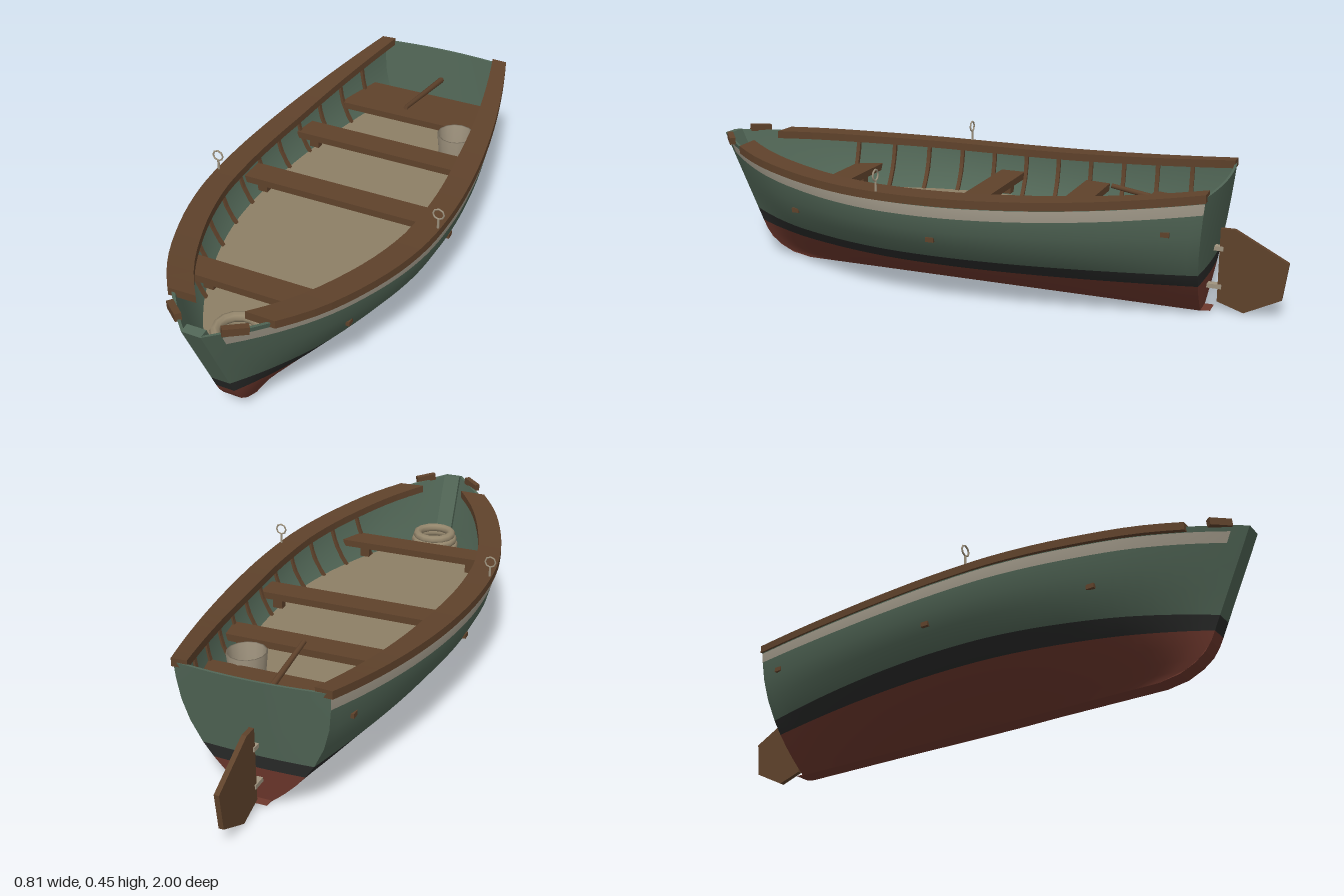
import * as THREE from 'three';

const { lerp, clamp } = THREE.MathUtils;
const paint = (name, color) => new THREE.MeshStandardMaterial({ name, color, side: THREE.DoubleSide });

// ---- hull form ----
// Half beam at evenly spaced stations, with one guide station beyond each end
const PLAN = new THREE.SplineCurve([.165, .24, .3, .345, .375, .387, .373, .316, .213, .03, -.25]
  .map((w, i) => new THREE.Vector2(i, w)));
const STEM = [[.67, 0], [.74, .012], [.79, .035], [.825, .062], [.845, .09], [.86, .12], [.88, .165], [1, .43]]; // z, y
const beam = u => PLAN.getPoint((1 + 8 * clamp(u, 0, 1)) / 10).y;
const sheer = u => .37 + .06 * ((1.78 * u - .88) / .9) ** 2;
const sternZ = y => -.74 - .095 * y;
function stemZ(y) {
  let i = 1;
  while (i < STEM.length - 1 && STEM[i][1] < y) i++;
  const [z0, y0] = STEM[i - 1], [z1, y1] = STEM[i];
  return lerp(z0, z1, (y - y0) / (y1 - y0));
}
const halfWidth = (u, y) => .03 + (beam(u) - .03) * (1 - Math.max(0, 1 - y / sheer(u)) ** 2.45);
const widthAt = (z, y) => halfWidth((z - sternZ(y)) / (stemZ(y) - sternZ(y)), y);

// Heights of the plank rows, with paint lines at fixed rows
const LOW = [0, .02, .045, .08, .12, .165];
const ROWS = 10;
function rowY(u, k) {
  if (k < 6) return LOW[k];
  if (k < 9) return lerp(.165, sheer(u) - .053, (k - 5) / 3);
  return sheer(u) - (k === 9 ? .018 : 0);
}
const rowPaint = k => k < 4 ? 0 : k === 4 ? 1 : 2;

// Smooth surface from a point rule; band(i, j) picks the material of a cell
function grid(n, m, point, band) {
  const pos = [], cells = [];
  for (let i = 0; i <= n; i++) for (let j = 0; j <= m; j++) pos.push(...point(i, j));
  for (let i = 0; i < n; i++) for (let j = 0; j < m; j++) {
    const a = i * (m + 1) + j, b = a + m + 1;
    (cells[band(i, j)] ??= []).push(a, b, a + 1, b, b + 1, a + 1);
  }
  const g = new THREE.BufferGeometry();
  g.setAttribute('position', new THREE.Float32BufferAttribute(pos, 3));
  const index = [];
  cells.forEach((c, k) => { g.addGroup(index.length, c.length, k); index.push(...c); });
  g.setIndex(index);
  g.computeVertexNormals();
  return g;
}

// Flat-faced bar through four-cornered sections
function sweep(sections) {
  const index = [], last = (sections.length - 1) * 4;
  for (let i = 0; i < last; i += 4) for (let k = 0; k < 4; k++) {
    const a = i + k, b = i + (k + 1) % 4;
    index.push(a, b, a + 4, b, b + 4, a + 4);
  }
  index.push(0, 2, 1, 0, 3, 2, last, last + 1, last + 2, last, last + 2, last + 3);
  let g = new THREE.BufferGeometry();
  g.setAttribute('position', new THREE.Float32BufferAttribute(sections.flat(2), 3));
  g.setIndex(index);
  g = g.toNonIndexed();
  g.computeVertexNormals();
  return g;
}

// Side-profile plate, points given as [z, y]
function plate(points, width) {
  const shape = new THREE.Shape(points.map(p => new THREE.Vector2(...p)));
  return new THREE.ExtrudeGeometry(shape, { depth: width, bevelEnabled: false })
    .rotateY(-Math.PI / 2).translate(width / 2, 0, 0);
}

export function createModel() {
  const boat = new THREE.Group();
  boat.name = 'rowingBoat';
  const red = paint('bottomRed', 0x6e382d), black = paint('waterlineBlack', 0x2a2b2a);
  const green = paint('hullGreen', 0x516656), cream = paint('stripeCream', 0xa39b8b);
  const wood = paint('darkWood', 0x5f422b), deck = paint('floorBeige', 0x8d7f66);
  const metal = paint('metal', 0x9f937e), rope = paint('rope', 0x94866c);
  const paints = [red, black, green, cream];
  const add = (name, geometry, material, x = 0, y = 0, z = 0) => {
    const mesh = new THREE.Mesh(geometry, material);
    mesh.name = name;
    mesh.position.set(x, y, z);
    boat.add(mesh);
    return mesh;
  };
  const box = (name, w, h, d, material, x, y, z) =>
    add(name, new THREE.BoxGeometry(w, h, d), material, x, y, z);

  // Hull skins, inner and outer, on both sides
  const N = 48;
  const hullPoint = (s, u, k, inset) => {
    const y = rowY(u, k);
    return [s * (halfWidth(u, y) - inset), y, lerp(sternZ(y), stemZ(y), u)];
  };
  for (const s of [1, -1]) {
    add('outerHull', grid(N, ROWS, (i, k) => hullPoint(s, i / N, k, 0),
      (i, k) => k === 8 && i < N - 1 ? 3 : rowPaint(k)), paints);
    add('innerHull', grid(N, ROWS, (i, k) => hullPoint(s, i / N, k, .012),
      (i, k) => rowPaint(k)), paints);
    add('hullEdge', grid(N, 1, (i, j) => hullPoint(s, i / N, ROWS, j * .012), () => 0), [green]);
  }

  // Transom, gently bowed
  const transomPoint = (i, k, inset) => {
    const y = rowY(0, k), a = i / 6 - 1, t = y / sheer(0);
    return [a * halfWidth(0, y), y, sternZ(y) - .018 * t * (1 - a * a) + inset];
  };
  for (const inset of [0, .008])
    add('transom', grid(12, ROWS, (i, k) => transomPoint(i, k, inset), (i, k) => rowPaint(k)), paints);
  add('transomEdge', grid(12, 1, (i, j) => transomPoint(i, ROWS, j * .008), () => 0), [green]);

  // Stem post and keel, split at the paint lines
  const stemPart = (points, material, name) => {
    const back = points.map(([z, y]) => [z - .03, y + .004]).reverse();
    add(name, plate([...points, ...back], .06), material);
  };
  stemPart([[-.74, 0], ...STEM.slice(0, 6)], red, 'keel');
  stemPart(STEM.slice(5, 7), black, 'stemWaterline');
  stemPart(STEM.slice(6), green, 'stemPost');

  // Gunwale rails, mooring chocks and oarlocks
  for (const s of [1, -1]) {
    const rail = [];
    for (let i = 0; i <= 32; i++) {
      const u = i / 32 * .916, y = sheer(u), z = lerp(-.782, 1, u);
      const out = s * (beam(u) + .007);
      const inn = s * (beam(u) - lerp(.045, .073, Math.min(1, u * 3)) - .012 * Math.max(0, u - .6) / .316);
      rail.push([[out, y - .015, z], [out, y + .011, z], [inn, y + .013, z], [inn, y - .013, z]]);
    }
    add('gunwaleRail', sweep(rail), wood);
    const chock = box('mooringChock', .075, .024, .02, wood, s * .095, .428, .932);
    chock.rotation.set(0, s * .7, s * -.1);
    add('oarlockPost', new THREE.CylinderGeometry(.004, .004, .04, 6), metal, s * .384, .396, .215);
    add('oarlockRing', new THREE.TorusGeometry(.018, .003, 6, 8), metal, s * .384, .433, .215);
  }

  // Floor and seats fitted to the hull
  const plank = (name, z0, z1, y, thick, n, material, gap) => {
    const sections = [];
    for (let i = 0; i <= n; i++) {
      const z = lerp(z0, z1, i / n), w = widthAt(z, y) - gap, v = widthAt(z, y - thick) - gap;
      sections.push([[w, y, z], [-w, y, z], [-v, y - thick, z], [v, y - thick, z]]);
    }
    add(name, sweep(sections), material);
  };
  plank('floor', -.732, .795, .207, .012, 28, deck, .005);
  const seats = [[-.69, -.5], [-.33, -.24], [0, .09], [.535, .625]];
  for (const [a, b] of seats) plank(a < -.5 ? 'sternSeat' : 'thwart', a, b, .287, .024, 3, wood, .01);

  // Seat brackets, with bolt ends showing through the planking
  for (const s of [1, -1]) {
    for (const [a, b] of seats) {
      const z = (a + b) / 2;
      box('seatBracket', .035, .045, .026, wood, s * (widthAt(z + .013, .2175) - .03), .24, z);
    }
    for (const [z, y] of [[.58, .248], [.045, .238], [-.67, .31]])
      box('boltEnd', .012, .015, .026, wood, s * widthAt(z, y), y, z);
  }

  // Ribs against the inner planking
  for (let r = 0; r < 11; r++) for (const s of [1, -1]) {
    const z = -.63 + r * .125, sections = [];
    const top = sheer((z + .78) / 1.78) - .01;
    for (let i = 0; i <= 5; i++) {
      const y = lerp(.2, top, i / 5), w = widthAt(z, y) - .01, v = w - .011;
      sections.push([[s * w, y, z - .007], [s * w, y, z + .007], [s * v, y, z + .007], [s * v, y, z - .007]]);
    }
    add('rib', sweep(sections), wood);
  }

  // Rudder, its hinges and the tiller
  add('rudder', plate([[-.785, .27], [-.83, .27], [-1, .18], [-.985, .06], [-.87, .002], [-.785, .03]], .016), wood);
  for (const y of [.08, .205]) box('rudderHinge', .024, .014, .05, metal, 0, y, -.772);
  const tiller = add('tiller', new THREE.CylinderGeometry(.008, .011, .35, 8), wood, 0, .34, -.602);
  tiller.rotation.x = Math.PI / 2 - .17;

  // Bucket and coiled rope
  const profile = [[.056, .004], [.066, .1], [.06, .1], [.053, .004]];
  add('bucket', new THREE.LatheGeometry(profile.map(p => new THREE.Vector2(...p)), 14), metal, .19, .204, -.44);
  [[.077, .222], [.072, .245], [.065, .266]].forEach(([radius, y]) =>
    add('ropeCoil', new THREE.TorusGeometry(radius, .016, 8, 14).rotateX(Math.PI / 2), rope, 0, y, .772));

  return boat;
}
